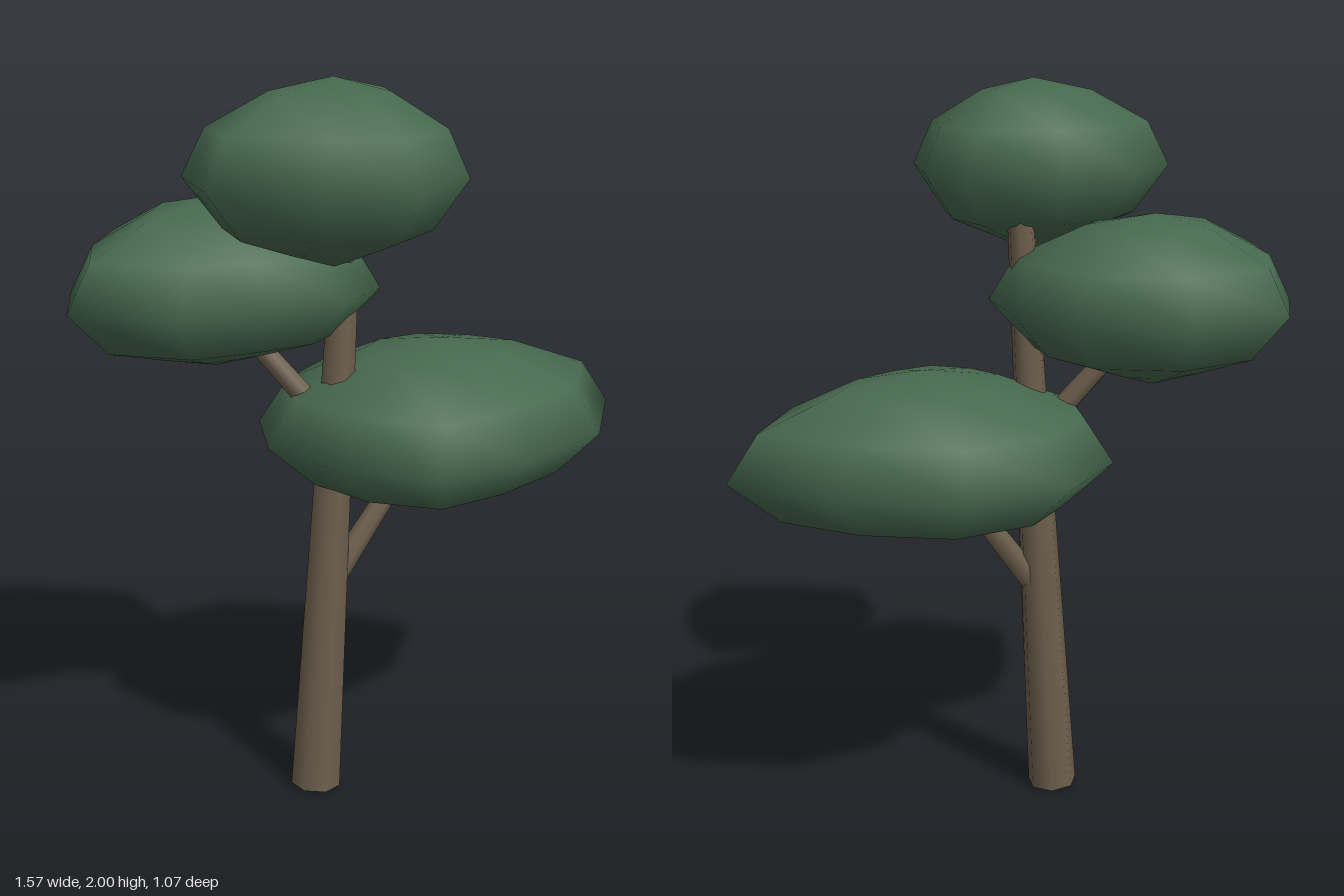
import * as THREE from 'three';

const bark = new THREE.MeshStandardMaterial({ name: 'bark brown', color: 0x6e604e });
const leaf = new THREE.MeshStandardMaterial({ name: 'leaf green', color: 0x47694e });

// Tapered limb swept between two points, closed at both ends
function limb(name, from, to, r0, r1, sides = 7) {
  const a = new THREE.Vector3(...from), b = new THREE.Vector3(...to);
  const dir = b.clone().sub(a);
  const mesh = new THREE.Mesh(new THREE.CylinderGeometry(r1, r0, dir.length(), sides), bark);
  mesh.name = name;
  mesh.position.copy(a).add(b).multiplyScalar(0.5);
  mesh.quaternion.setFromUnitVectors(new THREE.Vector3(0, 1, 0), dir.normalize());
  return mesh;
}

// Height and width of each ring of a leaf clump: shallow dome above, blunt cone below
const LEVELS = [[-0.8, 0.35], [-0.56, 0.74], [0, 1], [0.5, 0.84], [0.86, 0.42]];

// Smooth leaf clump built from its widest outline [x, z], ordered from +x towards +z
function clump(name, [cx, cz], [bottom, middle, top], outline) {
  const pos = [], index = [], n = outline.length;
  for (const [h, s] of LEVELS) {
    const y = middle + h * (h > 0 ? top - middle : middle - bottom);
    for (const [x, z] of outline) pos.push(cx + (x - cx) * s, y, cz + (z - cz) * s);
  }
  const low = n * LEVELS.length, high = low + 1, last = n * (LEVELS.length - 1);
  pos.push(cx, bottom, cz, cx, top, cz);
  for (let i = 0; i < n; i++) {
    const k = (i + 1) % n;
    for (let j = 0; j < LEVELS.length - 1; j++) {
      const a = j * n + i, b = j * n + k, c = b + n, d = a + n;
      index.push(a, d, c, a, c, b);
    }
    index.push(low, i, k, high, last + k, last + i);
  }
  const geo = new THREE.BufferGeometry();
  geo.setAttribute('position', new THREE.Float32BufferAttribute(pos, 3));
  geo.setIndex(index);
  geo.computeVertexNormals();
  const mesh = new THREE.Mesh(geo, leaf);
  mesh.name = name;
  return mesh;
}

export function createModel() {
  const tree = new THREE.Group();
  tree.name = 'tree';

  // Leaning trunk and its three branches
  tree.add(
    limb('trunk', [-0.142, 0.005, 0.018], [-0.025, 1.72, 0], 0.07, 0.034),
    limb('lowerBranch', [-0.07, 0.64, 0.015], [0.16, 0.95, 0.01], 0.034, 0.026),
    limb('middleBranch', [-0.08, 1.06, 0], [-0.31, 1.36, -0.12], 0.032, 0.026),
    limb('upperBranch', [-0.04, 1.46, 0.01], [-0.13, 1.66, 0.14], 0.028, 0.022),
  );

  // Leaf clumps, from low to high
  tree.add(
    clump('lowerLeaves', [0.24, 0.01], [0.81, 1.025, 1.27], [
      [0.785, 0.01], [0.59, 0.28], [0.3, 0.4], [0.03, 0.445], [-0.17, 0.27],
      [-0.27, 0.02], [-0.2, -0.22], [0, -0.385], [0.3, -0.41], [0.58, -0.24]]),
    clump('middleLeaves', [-0.34, -0.17], [1.215, 1.435, 1.67], [
      [0.065, -0.15], [0.04, 0.05], [-0.1, 0.16], [-0.33, 0.185], [-0.555, 0.18],
      [-0.785, -0.005], [-0.7, -0.26], [-0.555, -0.485], [-0.255, -0.535], [0, -0.385]]),
    clump('upperLeaves', [-0.15, 0.18], [1.535, 1.765, 2], [
      [0.178, 0.16], [0.12, 0.38], [-0.085, 0.53], [-0.29, 0.415], [-0.525, 0.29],
      [-0.5, 0.055], [-0.32, -0.095], [-0.09, -0.145], [0.145, -0.055]]),
  );
  return tree;
}
